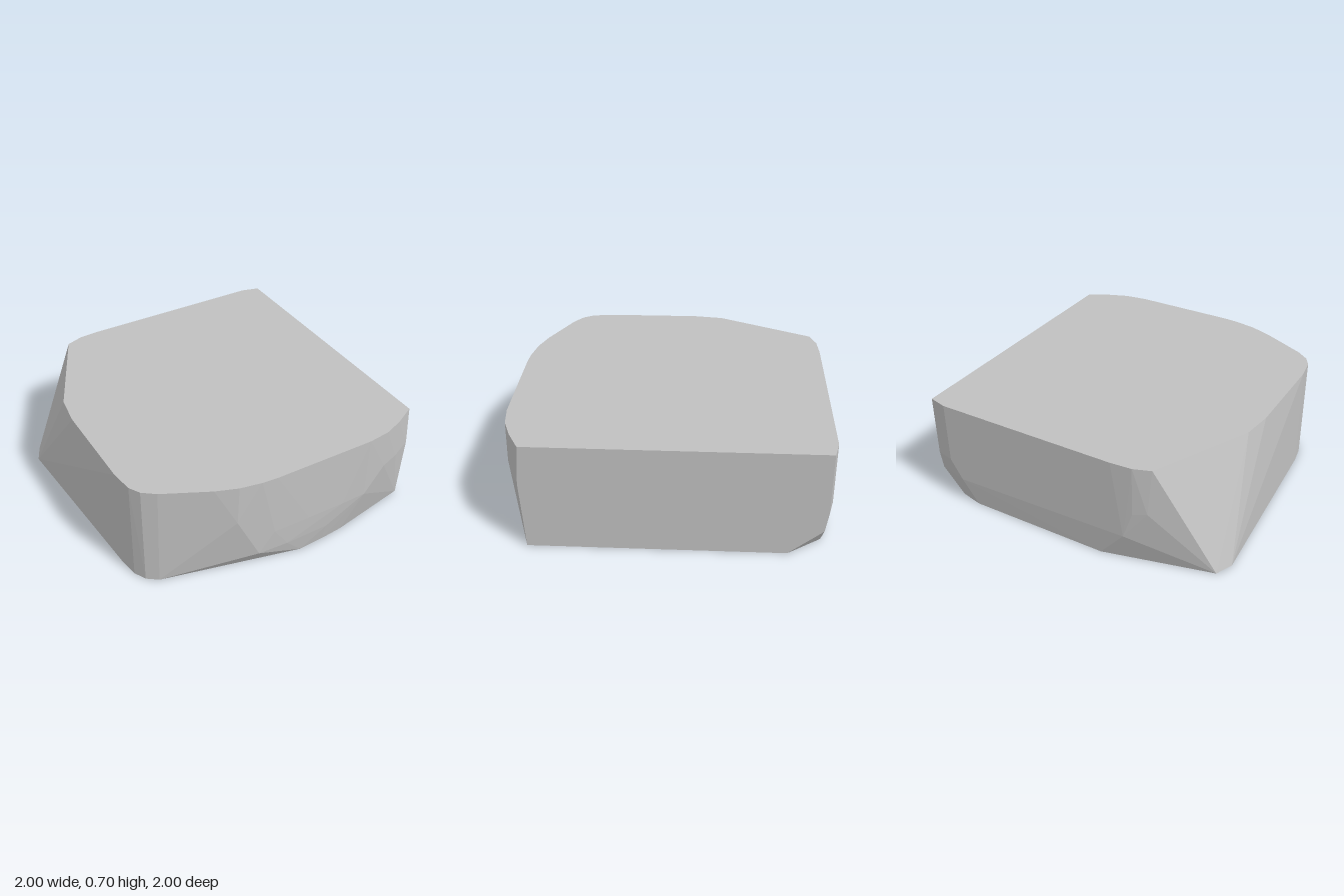
import * as THREE from 'three';
import { ConvexGeometry } from 'three/addons/geometries/ConvexGeometry.js';

const HEIGHT = 0.705;

// flat top outline as x, z
const topOutline = [
  [1, 0.845], [0.86, 0.92], [0.73, 0.97], [0.58, 0.99], [-0.1, 0.992], [-0.2, 0.985],
  [-0.34, 0.96], [-0.48, 0.91], [-0.77, 0.77], [-0.85, 0.71], [-0.89, 0.64], [-0.91, 0.5],
  [-0.915, -0.12], [-0.89, -0.32], [-0.59, -0.95], [-0.48, -0.99], [-0.34, -1], [0.88, -1], [1, -0.97],
];

// flat base outline as x, z: kicks out at the back corner, cut in at the others
const baseOutline = [
  [1, 0.84], [0.45, 0.95], [0.3, 0.965], [0.12, 0.975], [-0.78, 0.765], [-0.85, 0.715],
  [-0.89, 0.64], [-0.91, 0.52], [-1, -0.7], [-0.95, -0.81], [-0.25, -0.985], [0.7, -0.985],
  [0.85, -0.95], [1, -0.74],
];

// worn facet corners between top and base as x, y, z
const facetCorners = [
  // front
  [-0.35, 0.44, 0.965], [-0.2, 0.13, 0.985], [0, 0.13, 0.995], [0.3, 0.13, 0.99],
  [-0.1, 0.28, 0.998], [0.15, 0.28, 1], [0.4, 0.28, 1], [0.58, 0.28, 0.993],
  [0.73, 0.44, 0.975], [0.86, 0.44, 0.93], [1, 0.45, 0.865],
  // back
  [-0.57, 0.4, -0.97], [-0.48, 0.38, -0.993], [-0.42, 0.2, -1],
  [0.88, 0.3, -1], [0.8, 0.17, -1], [1, 0.3, -0.97], [1, 0.17, -0.95],
];

export function createModel() {
  const stone = new THREE.MeshStandardMaterial({ color: 0xc0c0c0 });
  stone.name = 'stone grey';

  const points = [
    ...topOutline.map(([x, z]) => new THREE.Vector3(x, HEIGHT, z)),
    ...baseOutline.map(([x, z]) => new THREE.Vector3(x, 0, z)),
    ...facetCorners.map((p) => new THREE.Vector3(...p)),
  ];
  const block = new THREE.Mesh(new ConvexGeometry(points), stone);
  block.name = 'stoneBlock';

  const group = new THREE.Group();
  group.name = 'stone';
  group.add(block);
  return group;
}
